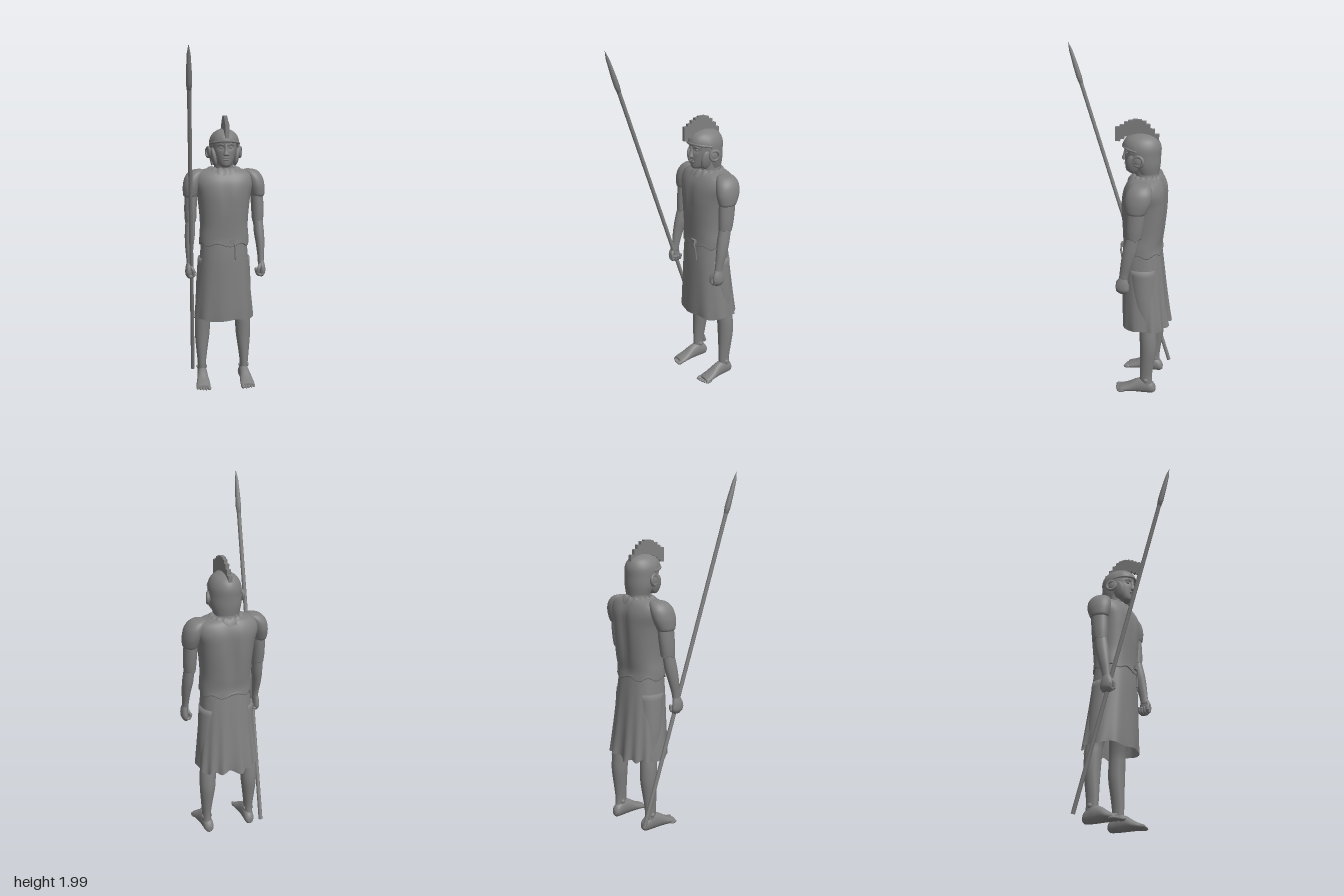
import * as THREE from 'three';

const stone = new THREE.MeshStandardMaterial({ color: 0x808080 });
stone.name = 'stone grey';
const cloth = stone.clone();
cloth.name = 'cloth grey';
cloth.side = THREE.DoubleSide;

function add(parent, name, geometry, material = stone) {
  const mesh = new THREE.Mesh(geometry, material);
  mesh.name = name;
  parent.add(mesh);
  return mesh;
}

function ball(parent, name, x, y, z, rx, ry, rz) {
  const mesh = add(parent, name, new THREE.SphereGeometry(1, 20, 14));
  mesh.position.set(x, y, z);
  mesh.scale.set(rx, ry, rz);
  return mesh;
}

function tube(parent, name, points, r, steps = 12) {
  const curve = new THREE.CatmullRomCurve3(points.map((p) => new THREE.Vector3(...p)));
  const mesh = add(parent, name, new THREE.TubeGeometry(curve, steps, r, 8));
  ball(mesh, name + 'Start', ...points[0], r, r, r);
  ball(mesh, name + 'Tip', ...points[points.length - 1], r, r, r);
  return mesh;
}

// Smooth skin through oval sections [x, y, z, halfWidth, halfDepth], listed upwards
function loft(sections, { sides = 32, rows = 32, power = 1, caps = true, start = () => 0, shape } = {}) {
  const curve = (k) => (t) => {
    const f = Math.min(t, 0.99999) * (sections.length - 1), i = Math.floor(f), u = f - i;
    const v = (j) => sections[Math.max(0, Math.min(sections.length - 1, j))][k];
    const [a, b, c, d] = [v(i - 1), v(i), v(i + 1), v(i + 2)];
    return b + 0.5 * u * (c - a + u * (2 * a - 5 * b + 4 * c - d + u * (3 * (b - c) + d - a)));
  };
  const at = [0, 1, 2, 3, 4].map(curve);
  const pos = [], index = [];
  const soft = (v) => Math.sign(v) * Math.abs(v) ** power;
  for (let r = 0; r <= rows; r++) {
    for (let i = 0; i < sides; i++) {
      const a = (i / sides) * Math.PI * 2, s = start(a), t = s + (1 - s) * (r / rows);
      const [x, y, z, w, d] = at.map((f) => f(t));
      const p = new THREE.Vector3(x + w * soft(Math.cos(a)), y, z + d * soft(Math.sin(a)));
      if (shape) shape(p, a, t);
      pos.push(p.x, p.y, p.z);
      if (r === rows) continue;
      const m = r * sides + i, n = r * sides + ((i + 1) % sides);
      index.push(m, m + sides, n, n, m + sides, n + sides);
    }
  }
  if (caps) {
    const low = pos.length / 3, top = rows * sides;
    const end = sections[sections.length - 1];
    pos.push(...sections[0].slice(0, 3), ...end.slice(0, 3));
    for (let i = 0; i < sides; i++) {
      const j = (i + 1) % sides;
      index.push(low, i, j, low + 1, top + j, top + i);
    }
  }
  const g = new THREE.BufferGeometry();
  g.setAttribute('position', new THREE.Float32BufferAttribute(pos, 3));
  g.setIndex(index);
  g.computeVertexNormals();
  return g;
}

const bump = (v, centre, width) => Math.exp(-(((v - centre) / width) ** 2));

function buildHead() {
  const head = new THREE.Group();
  head.name = 'head';
  add(head, 'neck', loft([[0, 1.27, -0.18, 0.07, 0.065], [0, 1.33, -0.17, 0.058, 0.058], [0, 1.40, -0.16, 0.058, 0.06]]));
  // Face with sunken eye sockets
  add(head, 'face', loft([
    [0, 1.34, -0.105, 0.018, 0.03], [0, 1.352, -0.11, 0.036, 0.05], [0, 1.385, -0.13, 0.056, 0.074],
    [0, 1.43, -0.14, 0.068, 0.086], [0, 1.47, -0.145, 0.072, 0.092], [0, 1.52, -0.145, 0.07, 0.09],
  ], { shape: (p) => {
    if (p.z > -0.13) p.z -= 0.012 * bump(p.y, 1.455, 0.014) * bump(Math.abs(p.x), 0.028, 0.017);
  } }));
  add(head, 'nose', loft([
    [0, 1.408, -0.056, 0.012, 0.01], [0, 1.415, -0.052, 0.017, 0.017], [0, 1.44, -0.056, 0.01, 0.013], [0, 1.475, -0.06, 0.008, 0.008],
  ], { sides: 14, rows: 12 }));
  for (const y of [1.386, 1.394]) ball(head, 'lip', 0, y, -0.059, 0.021, 0.0045, 0.008);
  // Helmet, cut away around the face
  const cut = (a) => {
    const front = THREE.MathUtils.smoothstep(Math.sin(a), 0.2, 0.65);
    return 0.02 + 0.48 * front;
  };
  add(head, 'helmet', loft([
    [0, 1.34, -0.18, 0.07, 0.065], [0, 1.39, -0.167, 0.084, 0.085], [0, 1.44, -0.155, 0.088, 0.099],
    [0, 1.49, -0.148, 0.087, 0.107], [0, 1.53, -0.147, 0.069, 0.09], [0, 1.553, -0.147, 0.038, 0.052], [0, 1.563, -0.147, 0.001, 0.001],
  ], { caps: false, start: cut, sides: 48 }), cloth);
  tube(head, 'browBand', [[-0.085, 1.475, -0.13], [-0.062, 1.485, -0.075], [0, 1.492, -0.043], [0.062, 1.485, -0.075], [0.085, 1.475, -0.13]], 0.007, 24);
  for (const s of [-1, 1]) {
    ball(head, 'eye', s * 0.028, 1.455, -0.071, 0.011, 0.007, 0.008);
    tube(head, 'eyebrow', [[s * 0.012, 1.468, -0.058], [s * 0.03, 1.474, -0.061], [s * 0.046, 1.468, -0.073]], 0.004);
    ball(head, 'cheekGuard', s * 0.066, 1.4, -0.11, 0.016, 0.055, 0.035).rotation.z = s * -0.18;
    ball(head, 'ear', s * 0.088, 1.425, -0.145, 0.012, 0.03, 0.026);
    const rim = add(head, 'earRim', new THREE.TorusGeometry(0.027, 0.009, 10, 24));
    rim.rotation.y = Math.PI / 2 - s * 0.3;
    rim.position.set(s * 0.093, 1.425, -0.147);
  }
  // Stepped crest
  [1.59, 1.603, 1.619, 1.63, 1.636, 1.636, 1.629, 1.612, 1.588, 1.56].forEach((top, i) => {
    const block = add(head, 'crestBlock', new THREE.BoxGeometry(0.021, i === 9 ? 0.04 : 0.08, 0.024));
    block.position.set(0, top - (i === 9 ? 0.02 : 0.04), -0.012 - i * 0.024);
  });
  return head;
}

function buildClothes() {
  const clothes = new THREE.Group();
  clothes.name = 'clothes';
  // Tunic with chest muscles and a spine groove
  add(clothes, 'tunic', loft([
    [0, 0.885, -0.164, 0.147, 0.113], [0, 0.93, -0.163, 0.146, 0.11], [0, 1.0, -0.166, 0.142, 0.116], [0, 1.1, -0.168, 0.149, 0.124],
    [0, 1.18, -0.169, 0.16, 0.126], [0, 1.25, -0.173, 0.178, 0.118], [0, 1.3, -0.176, 0.166, 0.096], [0, 1.324, -0.178, 0.11, 0.072], [0, 1.33, -0.178, 0.05, 0.045],
  ], { sides: 56, rows: 48, power: 0.85, shape: (p, a, t) => {
    const s = Math.sin(a);
    if (s < 0) p.z += 0.02 * bump(p.x, 0, 0.03) * bump(p.y, 1.13, 0.17);
    else p.z -= 0.007 * bump(p.x, 0, 0.02) * bump(p.y, 1.18, 0.08) * s;
    if (t < 0.06) p.y += 0.01 * Math.sin(a * 7 + 1);
  } }));
  add(clothes, 'collar', loft([
    [0, 1.296, -0.172, 0.118, 0.1], [0, 1.318, -0.175, 0.106, 0.088], [0, 1.334, -0.178, 0.08, 0.07], [0, 1.322, -0.178, 0.062, 0.058],
  ], { caps: false, sides: 56, rows: 12, shape: (p, a) => { p.y += 0.005 * Math.sin(a * 14); } }), cloth);
  // Skirt with folds and an uneven rear hem
  add(clothes, 'skirt', loft([
    [0, 0.43, -0.188, 0.178, 0.136], [0, 0.5, -0.183, 0.172, 0.133], [0, 0.65, -0.174, 0.157, 0.124], [0, 0.8, -0.166, 0.144, 0.115], [0, 0.92, -0.162, 0.134, 0.104],
  ], { caps: false, sides: 96, rows: 30, power: 0.85, shape: (p, a, t) => {
    const back = Math.max(0, -Math.sin(a)), k = (1 - t) ** 2;
    const fold = k * (0.004 * Math.sin(a * 9) + back * 0.013 * Math.sin(a * 14 + 1));
    p.x += fold * Math.cos(a);
    p.z += fold * Math.sin(a);
    p.y += k * k * (0.006 * Math.cos(a * 5) + back * 0.01 * Math.sin(a * 12));
  } }), cloth);
  const buckle = add(clothes, 'beltKnot', new THREE.BoxGeometry(0.034, 0.024, 0.018));
  buckle.position.set(0.032, 0.913, -0.05);
  tube(clothes, 'beltCord', [[0.04, 0.912, -0.046], [0.05, 0.885, -0.043], [0.052, 0.845, -0.05], [0.055, 0.805, -0.052]], 0.005);
  return clothes;
}

function buildArm(s) {
  const arm = new THREE.Group();
  arm.name = s > 0 ? 'leftArm' : 'rightArm';
  // Puffed shoulder cap over a short sleeve
  add(arm, 'shoulderCap', loft([
    [s * 0.2, 1.165, -0.158, 0.036, 0.05], [s * 0.199, 1.18, -0.159, 0.043, 0.059], [s * 0.192, 1.23, -0.165, 0.05, 0.072],
    [s * 0.178, 1.28, -0.171, 0.051, 0.07], [s * 0.157, 1.315, -0.175, 0.042, 0.05], [s * 0.145, 1.325, -0.176, 0.012, 0.018],
  ]));
  add(arm, 'sleeve', loft([
    [s * 0.2, 1.02, -0.146, 0.033, 0.042], [s * 0.2, 1.07, -0.15, 0.036, 0.047], [s * 0.198, 1.13, -0.155, 0.037, 0.05], [s * 0.195, 1.2, -0.16, 0.037, 0.05],
  ], { shape: (p, a, t) => { if (t < 0.05) p.y += 0.006 * Math.sin(a * 4); } }));
  add(arm, 'forearm', loft([
    [s * 0.212, 0.76, -0.09, 0.017, 0.024], [s * 0.212, 0.81, -0.098, 0.019, 0.026], [s * 0.211, 0.88, -0.113, 0.025, 0.034],
    [s * 0.206, 0.95, -0.128, 0.03, 0.039], [s * 0.201, 1.03, -0.143, 0.028, 0.037],
  ]));
  // Closed fist
  add(arm, 'palm', loft([
    [s * 0.214, 0.692, -0.092, 0.01, 0.022], [s * 0.218, 0.715, -0.09, 0.019, 0.037], [s * 0.218, 0.75, -0.088, 0.019, 0.035], [s * 0.213, 0.785, -0.092, 0.016, 0.024],
  ]));
  for (let i = 0; i < 4; i++) {
    const z = -0.062 - i * 0.017, y = 0.7 + Math.abs(i - 1.5) * 0.004;
    tube(arm, 'finger', [[s * 0.224, y + 0.025, z], [s * 0.214, y, z], [s * 0.193, y + 0.002, z], [s * 0.187, y + 0.024, z]], 0.009);
  }
  tube(arm, 'thumb', [[s * 0.206, 0.765, -0.07], [s * 0.194, 0.745, -0.057], [s * 0.189, 0.715, -0.058]], 0.01);
  return arm;
}

function buildLeg(s) {
  const leg = new THREE.Group();
  leg.name = s > 0 ? 'leftLeg' : 'rightLeg';
  add(leg, 'shin', loft([
    [s * 0.131, 0.05, -0.22, 0.026, 0.036], [s * 0.131, 0.12, -0.215, 0.025, 0.036], [s * 0.13, 0.2, -0.219, 0.033, 0.041], [s * 0.127, 0.3, -0.225, 0.044, 0.048],
    [s * 0.124, 0.38, -0.222, 0.047, 0.049], [s * 0.118, 0.45, -0.215, 0.048, 0.05], [s * 0.105, 0.6, -0.19, 0.062, 0.07], [s * 0.09, 0.8, -0.175, 0.065, 0.08],
  ]));
  // Foot skin runs heel to toe, then is laid forward
  const foot = loft([
    [s * 0.126, -0.272, -0.038, 0.012, 0.016], [s * 0.127, -0.255, -0.045, 0.027, 0.035], [s * 0.129, -0.21, -0.056, 0.031, 0.049],
    [s * 0.131, -0.16, -0.05, 0.033, 0.043], [s * 0.133, -0.11, -0.035, 0.04, 0.027], [s * 0.134, -0.07, -0.026, 0.042, 0.018], [s * 0.134, -0.055, -0.024, 0.036, 0.013],
  ]).rotateX(Math.PI / 2);
  add(leg, 'foot', foot);
  for (let i = 0; i < 5; i++) {
    const r = i === 0 ? 0.012 : 0.0085, x = 0.103 + i * 0.0165 + (i ? 0.001 : 0);
    ball(leg, 'toe', s * x, 0.01 + r, -0.052 - i * i * 0.0012, r, r, 0.024);
  }
  for (const side of [-1, 1]) ball(leg, 'ankleBone', s * 0.131 + side * 0.024, 0.1, -0.218, 0.008, 0.013, 0.014);
  return leg;
}

function buildSpear() {
  const spear = new THREE.Group();
  spear.name = 'spear';
  const butt = new THREE.Vector3(-0.179, 0.06, -0.303), tip = new THREE.Vector3(-0.244, 2, 0.333);
  const length = butt.distanceTo(tip);
  spear.position.copy(butt);
  spear.quaternion.setFromUnitVectors(new THREE.Vector3(0, 1, 0), tip.sub(butt).normalize());
  const shaft = add(spear, 'shaft', new THREE.CylinderGeometry(0.0115, 0.0115, length - 0.22, 10));
  shaft.position.y = (length - 0.22) / 2;
  const profile = [[0, -0.245], [0.0125, -0.24], [0.0165, -0.205], [0.015, -0.14], [0.01, -0.05], [0, 0]];
  add(spear, 'spearhead', new THREE.LatheGeometry(profile.map(([r, y]) => new THREE.Vector2(r, length + y)), 8));
  return spear;
}

export function createModel() {
  const model = new THREE.Group();
  model.name = 'spearman';
  model.add(buildHead(), buildClothes(), buildSpear());
  for (const s of [-1, 1]) model.add(buildArm(s), buildLeg(s));
  return model;
}
